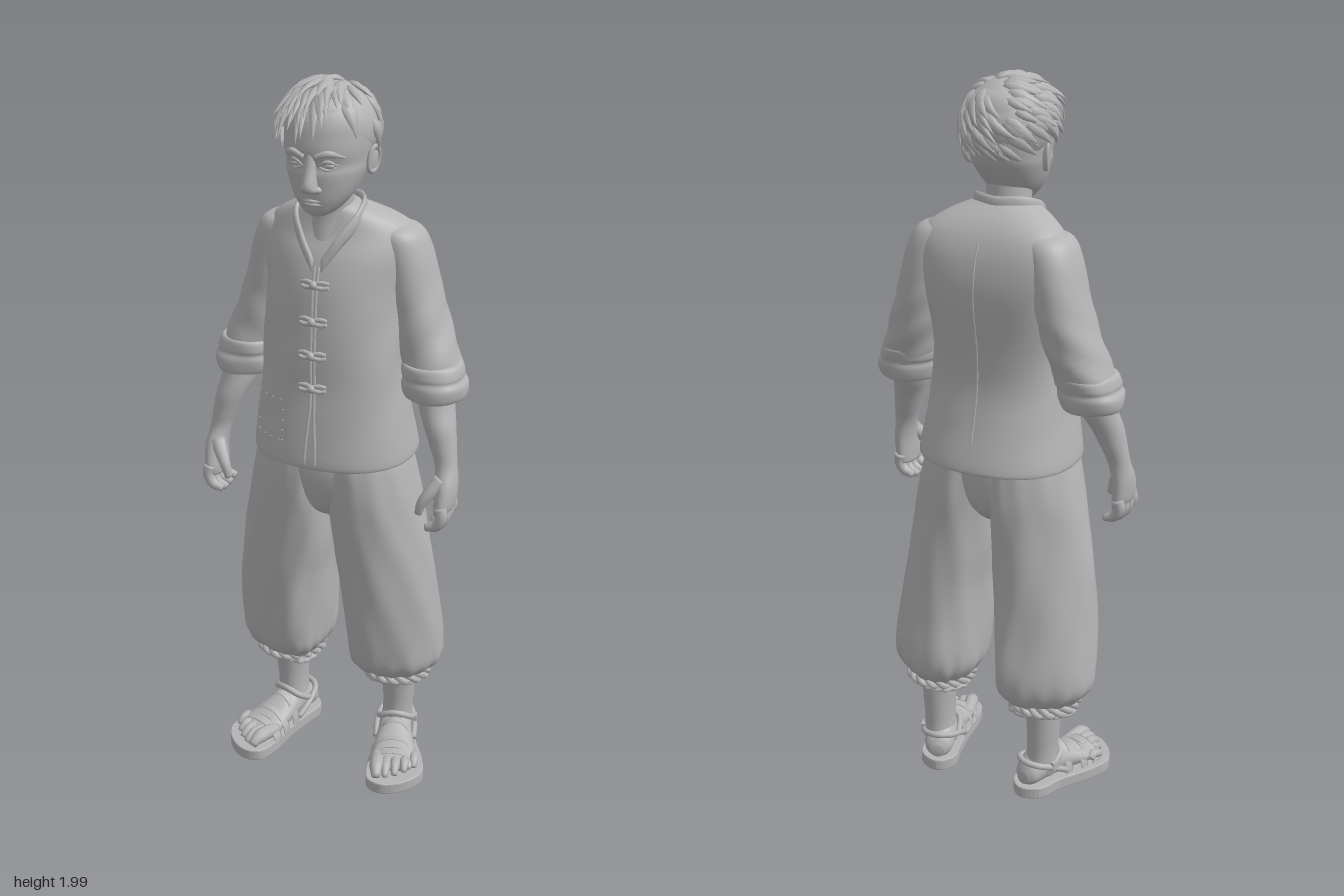
import * as THREE from 'three';

const V = (x, y, z) => new THREE.Vector3(x, y, z);
const clay = new THREE.MeshStandardMaterial({ color: 0xb4b4b4 });
clay.name = 'clay grey';

// Closed skin over a list of equal-sized rings
function skin(rings) {
  const n = rings[0].length, pos = [], idx = [];
  rings.forEach(r => r.forEach(p => pos.push(p.x, p.y, p.z)));
  for (let i = 0; i < rings.length - 1; i++) for (let j = 0; j < n; j++) {
    const a = i * n + j, b = i * n + (j + 1) % n;
    idx.push(a, a + n, b, b, a + n, b + n);
  }
  [0, rings.length - 1].forEach((i, end) => {
    const c = V(0, 0, 0), k = pos.length / 3;
    rings[i].forEach(p => c.addScaledVector(p, 1 / n));
    pos.push(c.x, c.y, c.z);
    for (let j = 0; j < n; j++) {
      const a = i * n + j, b = i * n + (j + 1) % n;
      end ? idx.push(a, k, b) : idx.push(a, b, k);
    }
  });
  const g = new THREE.BufferGeometry();
  g.setAttribute('position', new THREE.Float32BufferAttribute(pos, 3));
  g.setIndex(idx);
  g.computeVertexNormals();
  return g;
}

// Smooth loft through horizontal sections [y, cx, cz, rx, rz]; pinch narrows the outer side
function loft(rows, { s = 1, n = 40, per = 5, pow = 2, pinch = 0, fold = () => 1, bend = () => 0 } = {}) {
  if (rows[0][0] > rows[rows.length - 1][0]) rows = [...rows].reverse();
  const mid = new THREE.CatmullRomCurve3(rows.map(r => V(r[1] * s, r[0], r[2])), false, 'catmullrom', 0.5);
  const rad = new THREE.CatmullRomCurve3(rows.map(r => V(r[3], 0, r[4])), false, 'catmullrom', 0.5);
  const m = (rows.length - 1) * per, rings = [];
  const curve = v => Math.sign(v) * Math.abs(v) ** (2 / pow);
  for (let i = 0; i <= m; i++) {
    const c = mid.getPoint(i / m), r = rad.getPoint(i / m), ring = [];
    for (let j = 0; j < n; j++) {
      const a = j / n * Math.PI * 2, f = fold(s > 0 ? a : Math.PI - a, c.y);
      const x = c.x + (curve(Math.cos(a)) - s * pinch * Math.sin(a) ** 2) * r.x * f;
      ring.push(V(x, c.y, c.z + curve(Math.sin(a)) * r.z * f + bend(x, c.y)));
    }
    rings.push(ring);
  }
  return skin(rings);
}

// Tapered round limb along a curve
function limb(points, radii, n = 8, m = 12) {
  const c = new THREE.CatmullRomCurve3(points), f = c.computeFrenetFrames(m), rings = [];
  for (let i = 0; i <= m; i++) {
    const u = i / m * (radii.length - 1), k = Math.min(Math.floor(u), radii.length - 2);
    const r = THREE.MathUtils.lerp(radii[k], radii[k + 1], u - k), p = c.getPointAt(i / m);
    rings.push(Array.from({ length: n }, (_, j) => {
      const a = j / n * Math.PI * 2;
      return p.clone().addScaledVector(f.normals[i], r * Math.cos(a)).addScaledVector(f.binormals[i], -r * Math.sin(a));
    }));
  }
  return skin(rings);
}

const ball = (x, y, z, a, b, c) => new THREE.SphereGeometry(1, 16, 12).scale(a, b, c).translate(x, y, z);
const step = THREE.MathUtils.smoothstep;

export function createModel() {
  const root = new THREE.Group();
  root.name = 'standingMan';
  const add = (name, geo, parent = root) => {
    const mesh = new THREE.Mesh(geo, clay);
    mesh.name = name;
    parent.add(mesh);
    return mesh;
  };
  // Surface depth of a mesh at x, y, seen from the front (1) or back (-1)
  const depth = (mesh, x, y, d = 1) =>
    new THREE.Raycaster(V(x, y, d), V(0, 0, -d)).intersectObject(mesh)[0]?.point.z ?? 0;

  // Jacket body
  const jacket = add('jacketBody', loft([
    [1.04, 0, -.015, .195, .155], [.992, 0, -.015, .212, .178], [.997, 0, -.015, .222, .19], [1.1, 0, -.004, .208, .168],
    [1.2, 0, .003, .196, .15], [1.3, 0, 0, .19, .149], [1.45, 0, -.014, .196, .152], [1.54, 0, -.02, .208, .136],
    [1.6, 0, -.022, .196, .11], [1.64, 0, -.012, .15, .088], [1.67, 0, .005, .085, .065], [1.68, 0, .01, .06, .05]],
    { n: 64, pow: 2.3, fold: (a, y) => 1 + .012 * Math.sin(5 * a + 24 * y) * step(y, 1.05, 1.18) * (1 - step(y, 1.3, 1.5)),
      bend: (x, y) => -.035 * (x / .2) ** 2 * step(y, 1.25, 1.5) }));

  // Button edge, knotted fastenings and back seam
  const ys = Array.from({ length: 12 }, (_, i) => 1.0 + i * .048);
  [-1, 1].forEach(s => add('frontEdge', limb(ys.map(y => {
    const x = s * (.005 + .01 * (1 - step(y, 1, 1.18)));
    return V(x, y, depth(jacket, x, y) - .001);
  }), [.005, .005], 6, 40)));
  add('backSeam', limb(ys.map(y => V(0, y + .06, depth(jacket, 0, y + .06, -1) + .002)), [.004, .004], 6, 40));
  [1.485, 1.39, 1.3, 1.21].forEach(y => {
    const z = depth(jacket, 0, y);
    add('knotButton', ball(0, y, z + .009, .011, .011, .01));
    [-1, 1].forEach(s => [-.008, .008].forEach(dy => add('buttonLoop', limb([V(0, y + dy * .5, z + .006),
      V(s * .022, y + dy, z + .003), V(s * .038, y + dy * .6, depth(jacket, s * .038, y) + .002)], [.006, .006, .005], 6))));
  });
  // Patch stitches near the hem
  for (let i = 0; i < 16; i++) {
    const side = i >> 2, k = i % 4 / 4;
    const x = side < 2 ? -.17 + k * .1 : side < 3 ? -.175 : -.085;
    const y = side < 2 ? [1.05, 1.16][side] : 1.05 + k * .11;
    add('patchStitch', ball(x, y, depth(jacket, x, y), .004, .003, .002));
  }

  // Stand collar, open at the throat
  const half = [[.012, 1.53, .118], [.05, 1.59, .1], [.084, 1.643, .055], [.07, 1.672, -.02]];
  const collarPath = new THREE.CatmullRomCurve3([...half.map(p => V(-p[0], p[1], p[2])), V(0, 1.672, -.05),
    ...[...half].reverse().map(p => V(...p))]);
  add('collar', skin(Array.from({ length: 41 }, (_, i) => {
    const p = collarPath.getPoint(i / 40), o = V(p.x, 0, p.z - .03).normalize();
    return Array.from({ length: 10 }, (_, j) => {
      const a = j / 10 * Math.PI * 2;
      return p.clone().addScaledVector(o, .008 * Math.cos(a)).add(V(0, -.022 * Math.sin(a), 0));
    });
  })));
  add('neck', loft([[1.54, 0, .04, .045, .065], [1.6, 0, .025, .06, .066], [1.66, 0, .025, .06, .058], [1.74, 0, .035, .06, .06]]));

  // Head and face
  const head = add('head', loft([
    [1.66, 0, .09, .018, .03], [1.672, 0, .085, .04, .055], [1.7, 0, .07, .066, .08], [1.73, 0, .058, .083, .097],
    [1.77, 0, .045, .097, .114], [1.795, 0, .038, .1, .118], [1.825, 0, .038, .104, .127], [1.86, 0, .036, .106, .127],
    [1.9, 0, .033, .104, .122], [1.945, 0, .032, .085, .1], [1.975, 0, .032, .03, .04]], { n: 48, pow: 2.2 }));
  add('nose', loft([[1.83, 0, .152, .013, .012], [1.79, 0, .156, .016, .018], [1.752, 0, .161, .02, .027],
    [1.735, 0, .158, .023, .025], [1.727, 0, .152, .012, .012]], { n: 16 }));
  const onFace = (x, y, lift) => V(x, y, depth(head, x, y) + lift);
  [-1, 1].forEach(s => {
    add('eye', ball(s * .042, 1.797, depth(head, s * .042, 1.797) - .005, .017, .008, .008));
    [[.011, .006], [-.011, .004]].forEach(([dy, r]) => add('eyelid', limb([onFace(s * .02, 1.796, 0),
      onFace(s * .042, 1.798 + dy, 0), onFace(s * .066, 1.795, -.001)], [.002, r, .002])));
    add('eyebrow', limb([onFace(s * .014, 1.819, 0), onFace(s * .045, 1.829, .001), onFace(s * .078, 1.817, -.002)], [.007, .009, .004]));
    add('nostrilWing', ball(s * .018, 1.737, .152, .011, .01, .014));
    // Ear with rim
    const ear = new THREE.Group();
    ear.name = 'ear';
    ear.position.set(s * .109, 1.79, .018);
    ear.rotation.set(-.15, s * -.4, s * -.12);
    add('earShell', ball(0, -.002, 0, .008, .034, .02), ear);
    add('earRim', new THREE.TorusGeometry(.021, .005, 8, 24).scale(.9, 1.5, 1).rotateY(Math.PI / 2).translate(s * .004, .003, 0), ear);
    root.add(ear);
  });
  [[1.707, .005], [1.698, .006]].forEach(([y, r]) => add('lip', limb([onFace(-.032, y - .001, -.003), onFace(0, y, .002),
    onFace(.032, y - .001, -.003)], [.002, r, .002])));
  add('chin', ball(0, 1.678, .124, .028, .015, .018));

  // Hair cap with pointed locks swirling out from the crown
  const hub = V(0, 1.868, .034), size = V(.121, .115, .13);
  add('hairCap', new THREE.SphereGeometry(1, 40, 24, 0, Math.PI * 2, 0, 1.85).rotateX(-.6)
    .scale(size.x, size.y, size.z).translate(hub.x, hub.y, hub.z));
  let seed = 7;
  const rand = () => (seed = (seed * 16807) % 2147483647) / 2147483647;
  const axis = V(.28, .9, -.3).normalize();
  const u = V(1, 0, 0).addScaledVector(axis, -axis.x).normalize(), w = axis.clone().cross(u);
  for (let i = 0; i < 240; i++) {
    const th = .05 + 1.95 * Math.sqrt(rand()), ph = rand() * Math.PI * 2;
    const len = .5 + rand() * .35, wide = .12 + rand() * .08, rise = .03 + rand() * .13;
    const at = (t, lift = 1) => {
      const a = th + len * t, b = ph + .4 * t;
      return axis.clone().multiplyScalar(Math.cos(a)).addScaledVector(u, Math.sin(a) * Math.cos(b))
        .addScaledVector(w, Math.sin(a) * Math.sin(b)).multiplyScalar(lift).multiply(size).add(hub);
    };
    const tip = at(.85), floor = tip.z > .08 ? 1.87 : tip.z > -.015 ? 1.825 : 1.735;
    if (tip.y < floor) continue;
    const flick = tip.z > .12 ? .22 : 0;
    add('hairLock', skin(Array.from({ length: 8 }, (_, k) => {
      const t = k / 7, p = at(t, .98 + (rise + flick) * t * t + .03 * Math.sin(t * Math.PI));
      const o = p.clone().sub(hub).normalize(), fwd = at(t + .05).sub(at(t - .05)).normalize();
      const side = o.clone().cross(fwd).normalize();
      const g = Math.max(.02, Math.min(1, .5 + 2 * t) * (1 - t) ** .8) * .13;
      return Array.from({ length: 6 }, (_, j) => {
        const a = j / 6 * Math.PI * 2;
        return p.clone().addScaledVector(o, Math.cos(a) * g * .1).addScaledVector(side, Math.sin(a) * g * wide);
      });
    })));
  }

  // Seat of the trousers
  add('trouserSeat', loft([[.79, 0, -.008, .015, .05], [.83, 0, -.006, .06, .11], [.88, 0, -.004, .12, .136],
    [.95, 0, 0, .17, .148], [1.03, 0, 0, .185, .146]]));

  [-1, 1].forEach(s => {
    // Sleeve with rolled cuff
    add('sleeve', loft([
      [1.62, .14, -.046, .03, .04], [1.602, .155, -.048, .061, .073], [1.55, .175, -.054, .067, .086], [1.45, .198, -.058, .07, .09],
      [1.35, .226, -.054, .074, .088], [1.26, .256, -.042, .078, .084], [1.21, .268, -.034, .07, .078]],
      { s, pow: 2.1, fold: (a, y) => 1 + .03 * Math.sin(3 * a + 58 * y) * (1 - step(y, 1.3, 1.55)) }));
    add('rolledCuff', loft([[1.262, .26, -.038, .06, .07], [1.26, .26, -.038, .08, .087], [1.235, .265, -.034, .085, .089],
      [1.222, .268, -.032, .082, .086], [1.205, .272, -.03, .088, .09], [1.178, .274, -.028, .084, .086],
      [1.168, .274, -.027, .074, .077], [1.19, .276, -.026, .05, .055]],
      { s, per: 4, fold: (a, y) => 1 + .025 * Math.sin(4 * a + 40 * y) }));
    // Forearm, palm and curled fingers
    add('forearm', loft([[1.23, .272, -.03, .05, .055], [1.15, .287, -.008, .048, .052], [1.1, .303, .01, .043, .047],
      [1.05, .317, .02, .036, .039], [1.0, .33, .03, .03, .033], [.95, .338, .043, .029, .045],
      [.9, .337, .05, .027, .053], [.872, .332, .05, .02, .048]], { s, n: 24 }));
    for (let i = 0; i < 4; i++) {
      const z = .091 - i * .028, d = Math.abs(i - 1.3) * .007;
      add('finger', limb([V(s * .338, .9, z), V(s * .343, .865 + d, z + .003), V(s * .33, .838 + d, z + .004),
        V(s * .3, .827 + d, z + .003)], [.016, .016, .0145, .01], 10));
    }
    add('thumb', limb([V(s * .328, .965, .06), V(s * .302, .93, .085), V(s * .287, .905, .095), V(s * .279, .875, .097)],
      [.022, .019, .015, .01], 10));

    // Baggy trouser leg gathered at the shin, fuller on its inner side
    add('trouserLeg', loft([
      [1.04, .095, 0, .09, .12], [1.0, .103, 0, .11, .144], [.9, .117, -.004, .12, .151], [.8, .129, -.008, .127, .147],
      [.7, .142, -.016, .133, .144], [.6, .156, -.025, .133, .144], [.5, .164, -.036, .135, .146], [.4, .17, -.05, .135, .149],
      [.345, .172, -.055, .13, .141], [.31, .17, -.062, .108, .117], [.285, .168, -.068, .086, .086],
      [.262, .168, -.07, .094, .09], [.252, .168, -.07, .06, .06]],
      { s, n: 72, pinch: s < 0 ? .32 : .14,
        fold: (a, y) => 1 + (1 - step(y, .8, 1)) * (.014 * Math.sin(5 * a + 11 * y) + .012 * Math.sin(9 * a - 16 * y))
          + .025 * Math.sin(17 * a) * (1 - step(y, .3, .42)) + .01 * Math.sin(14 * a) * step(y, .75, .98) }));
    // Twisted ankle cord
    [0, Math.PI].forEach(ph => add('ankleCord', new THREE.TubeGeometry(new THREE.CatmullRomCurve3(
      Array.from({ length: 72 }, (_, i) => {
        const a = i / 72 * Math.PI * 2, r = .086 + .008 * Math.cos(9 * a + ph);
        return V(s * .168 + r * Math.cos(a), .284 + .009 * Math.sin(9 * a + ph), -.068 + r * Math.sin(a));
      }), true), 144, .01, 6, true)));
    add('ankle', loft([[.3, .17, -.075, .055, .06], [.2, .17, -.08, .046, .052], [.13, .168, -.08, .043, .05],
      [.08, .166, -.078, .046, .055], [.05, .166, -.075, .04, .05]], { s, n: 24 }));

    // Foot and sandal, turned outward
    const foot = new THREE.Group();
    foot.name = 'foot';
    foot.position.set(s * .163, 0, -.08);
    foot.rotation.y = s * .3;
    root.add(foot);
    add('footBody', loft([[-.075, 0, -.055, .02, .018], [-.055, 0, -.066, .04, .036], [0, 0, -.082, .046, .055],
      [.06, 0, -.07, .05, .044], [.12, .002, -.058, .06, .03], [.17, .004, -.05, .064, .021], [.195, .004, -.046, .05, .012]],
      { s, n: 24 }).rotateX(Math.PI / 2), foot);
    for (let i = 0; i < 5; i++) {
      const x = s * (-.042 + i * .026), z = .242 - i * i * .0035, r = i ? .0155 - i * .0006 : .021;
      add('toe', limb([V(x, .05, .14), V(x, .059, z - .035), V(x, .052, z - .01), V(x, .044, z)], [r, r, r, r * .55], 10), foot);
    }
    const outline = [[-.045, -.06], [-.05, 0], [-.056, .09], [-.07, .17], [-.064, .235], [-.025, .258], [.038, .24],
      [.084, .19], [.081, .12], [.055, .02], [.046, -.055], [0, -.088]].map(([x, z]) => new THREE.Vector2(x * s, z));
    const sole = new THREE.Shape(new THREE.CatmullRomCurve3(outline.map(p => V(p.x, p.y, 0)), true).getPoints(60)
      .slice(0, -1).map(p => new THREE.Vector2(p.x, p.y)));
    add('sandalSole', new THREE.ExtrudeGeometry(sole, { depth: .026, bevelSize: .003, bevelThickness: .004, bevelSegments: 2 })
      .rotateX(Math.PI / 2).translate(0, .03, 0), foot);
    [[.16, .071, .05, 2], [.115, .066, .064, 1.6], [.062, .056, .09, 1.8]].forEach(([z, rx, ry, wide]) =>
      add('sandalStrap', new THREE.TorusGeometry(1, .008, 8, 28, Math.PI).scale(rx, ry, wide).translate(0, .03, z), foot));
    add('heelStrap', limb([V(-.055, .05, .05), V(-.054, .08, 0), V(-.035, .1, -.05), V(0, .105, -.066), V(.035, .1, -.05),
      V(.054, .08, 0), V(.055, .05, .05)], [.009, .009], 8, 32), foot);
    add('ankleStrap', limb([V(-.05, .085, -.01), V(-.042, .115, .035), V(0, .135, .05), V(.042, .115, .035), V(.05, .085, -.01)],
      [.009, .009], 8, 28), foot);
    add('strapBuckle', new THREE.BoxGeometry(.012, .026, .024).translate(s * .056, .088, 0), foot);
  });
  return root;
}
